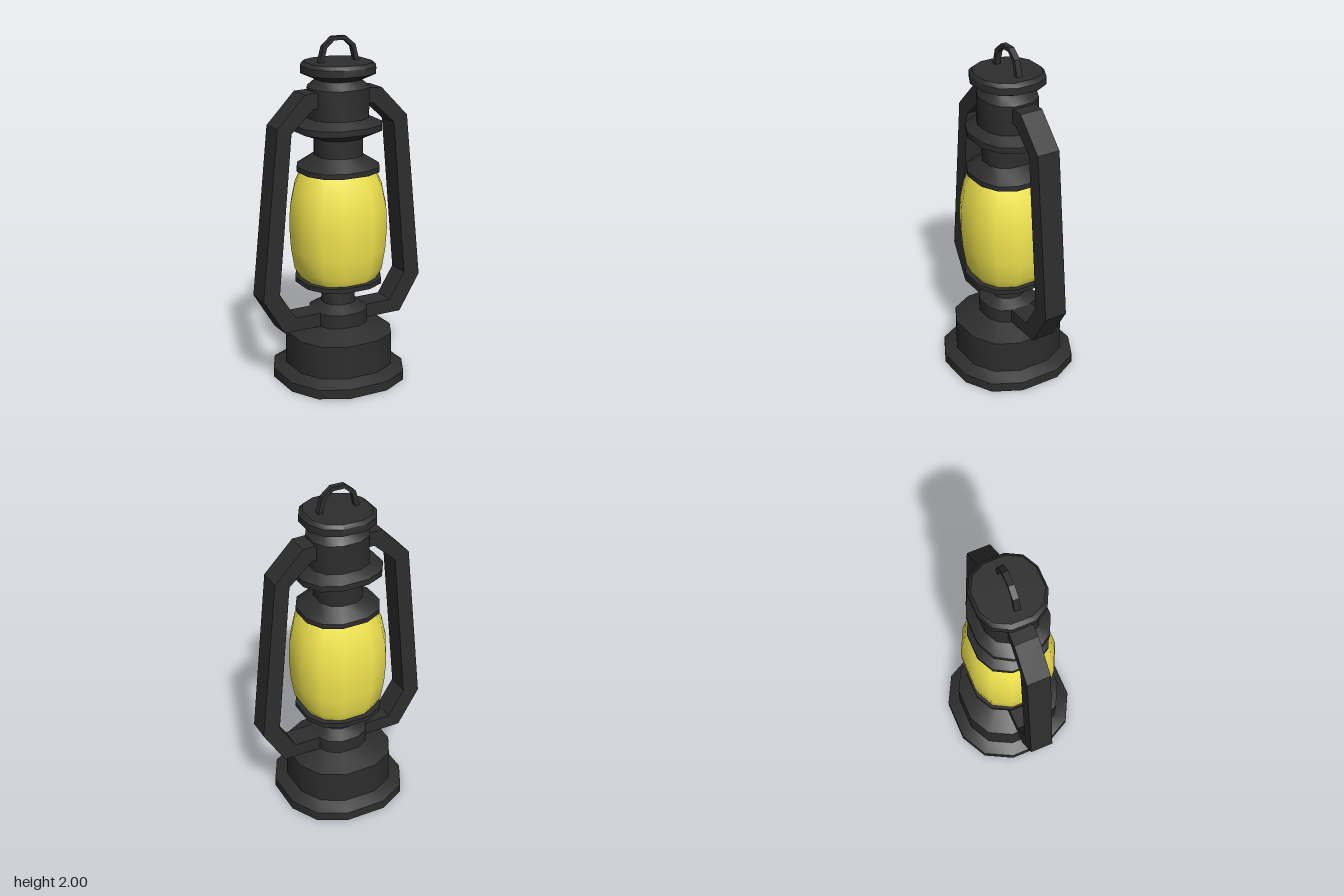
import * as THREE from 'three';
import { mergeVertices, toCreasedNormals } from 'three/addons/utils/BufferGeometryUtils.js';

const black = new THREE.MeshStandardMaterial({ color: 0x2d2d2d });
const yellow = new THREE.MeshStandardMaterial({ color: 0xf4e750 });

// Maps the sine of a regular 12-gon corner to the slightly squared footprint
function footprint(s) {
  const a = Math.abs(s);
  return Math.sign(s) * (a < 0.5 ? 0.33 : a < 0.85 ? 0.77 : 1);
}

// Twelve-sided turned part; rings are [half width, height, optional half depth]
function turned(name, rings, material, crease) {
  const points = rings.map(([r, y]) => new THREE.Vector2(r, y));
  let geo = new THREE.LatheGeometry(points, 12, Math.PI / 12);
  const pos = geo.attributes.position;
  for (let i = 0; i < pos.count; i++) {
    const [w, , d = w] = rings[i % rings.length];
    const phi = Math.PI / 12 + Math.floor(i / rings.length) * Math.PI / 6;
    pos.setX(i, w * footprint(Math.sin(phi)));
    pos.setZ(i, d * footprint(Math.cos(phi)));
  }
  geo.deleteAttribute('uv');
  geo.deleteAttribute('normal');
  geo = mergeVertices(geo);
  if (crease) geo = toCreasedNormals(geo, crease);
  else geo.computeVertexNormals();
  const mesh = new THREE.Mesh(geo, material);
  mesh.name = name;
  return mesh;
}

// Flat bar cut from an outline in the xy plane, centred on z = 0
function bar(name, outline, depth) {
  const shape = new THREE.Shape(outline.map(([x, y]) => new THREE.Vector2(x, y)));
  const geo = new THREE.ExtrudeGeometry(shape, { depth, bevelEnabled: false });
  geo.translate(0, 0, -depth / 2);
  const mesh = new THREE.Mesh(geo, black);
  mesh.name = name;
  return mesh;
}

export function createModel() {
  const lantern = new THREE.Group();
  lantern.name = 'lantern';

  // Fuel tank with foot, neck and burner plate
  lantern.add(turned('fuelTank', [
    [0, 0], [0.365, 0], [0.365, 0.055], [0.295, 0.09], [0.295, 0.285],
    [0.16, 0.34], [0.16, 0.42], [0.095, 0.46], [0.09, 0.53],
    [0.16, 0.563], [0.237, 0.585], [0.237, 0.612], [0, 0.612],
  ], black, 0.65));

  // Bulging glass globe
  lantern.add(turned('glassGlobe', [
    [0.2, 0.6, 0.2], [0.243, 0.67, 0.23], [0.262, 0.79, 0.248], [0.27, 0.92, 0.257],
    [0.265, 1.04, 0.252], [0.24, 1.16, 0.232], [0.2, 1.25, 0.2],
  ], yellow));

  // Chimney collar, flange, vent and cap
  lantern.add(turned('chimney', [
    [0, 1.243], [0.227, 1.243, 0.215], [0.227, 1.272, 0.215], [0.13, 1.335, 0.138],
    [0.13, 1.435, 0.138], [0.245, 1.478, 0.21], [0.245, 1.512, 0.21],
    [0.17, 1.55, 0.157], [0.17, 1.72, 0.157], [0.12, 1.762],
    [0.203, 1.8, 0.195], [0.203, 1.84, 0.195], [0.18, 1.86], [0, 1.86],
  ], black, 0.65));

  // Side frame bars, mirrored left and right
  const frame = [
    [0.1, 1.71], [0.24, 1.705], [0.41, 1.53], [0.51, 0.555], [0.38, 0.342],
    [0.08, 0.342], [0.08, 0.423], [0.31, 0.423], [0.408, 0.58], [0.325, 1.495],
    [0.19, 1.62], [0.1, 1.62],
  ];
  for (const [side, s] of [['left', 1], ['right', -1]]) {
    lantern.add(bar(side + 'Frame', frame.map(([x, y]) => [s * x, y]), 0.136));
  }

  // Hanging loop on the cap
  const outer = [[0.127, 1.85], [0.1, 1.95], [0.04, 2]];
  const inner = [[0.1, 1.85], [0.078, 1.938], [0.032, 1.978]];
  const mirror = (list) => list.map(([x, y]) => [-x, y]);
  lantern.add(bar('hangingLoop', [
    ...outer, ...mirror(outer).reverse(), ...mirror(inner), ...inner.slice().reverse(),
  ], 0.034));

  return lantern;
}
